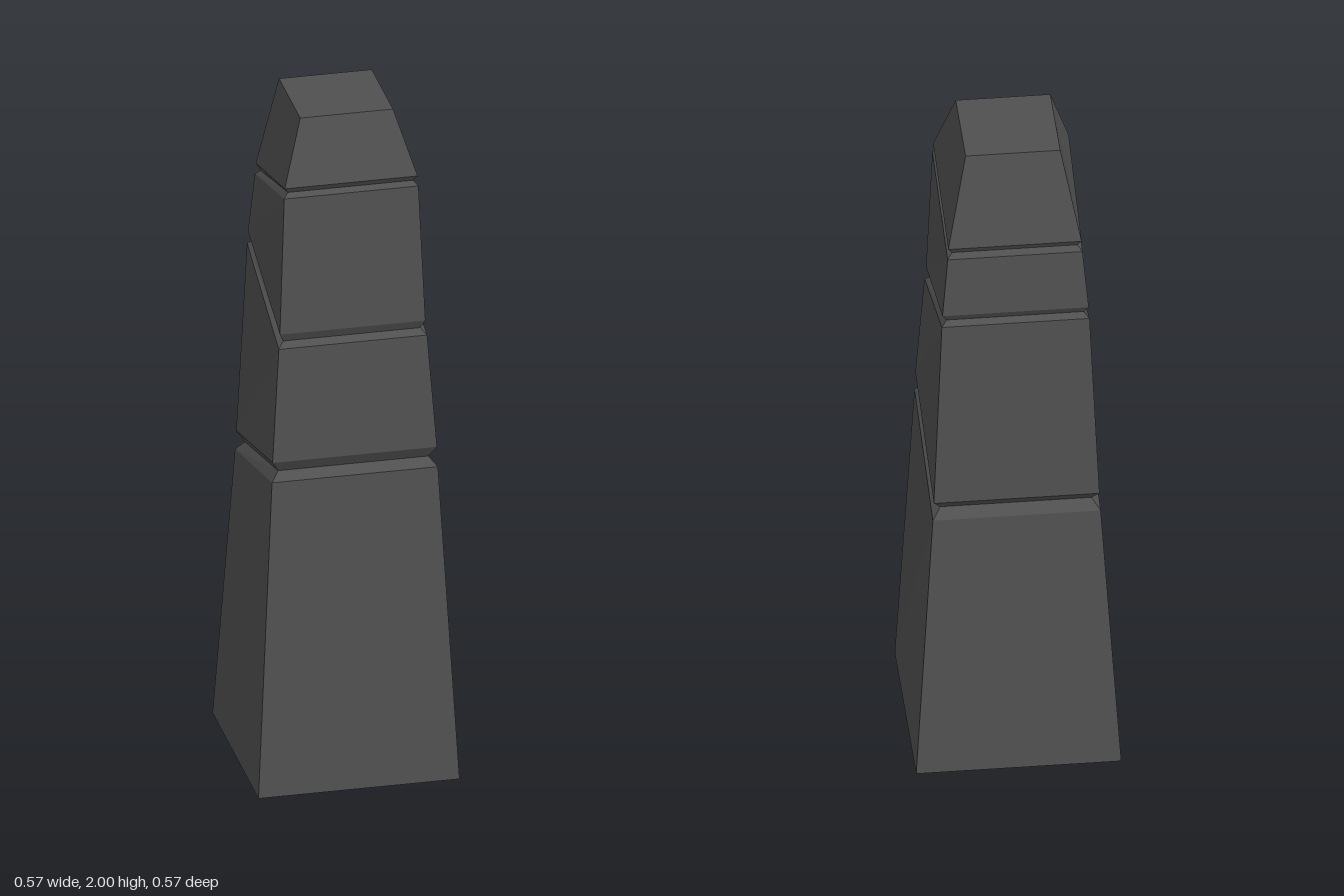
import * as THREE from 'three';

// Cross-sections: [front y, back y, front half width, back half width]
const RINGS = [
  [0, 0, 0.286, 0.286],
  [0.94, 0.828, 0.236, 0.234],
  [0.965, 0.858, 0.214, 0.211],
  [1.0, 0.885, 0.234, 0.231],
  [1.335, 1.47, 0.211, 0.206],
  [1.352, 1.484, 0.195, 0.191],
  [1.378, 1.507, 0.207, 0.204],
  [1.785, 1.688, 0.191, 0.188],
  [1.798, 1.703, 0.178, 0.175],
  [1.815, 1.722, 0.189, 0.186],
  [2, 2, 0.132, 0.132],
];

// Four corners of a tilted square, counterclockwise from above
const corners = ([yf, yb, f, b]) => [[f, yf, f], [b, yb, -b], [-b, yb, -b], [-f, yf, f]];

// Walls between consecutive rings, closed with a bottom and a top face
function loft(rings) {
  const loops = rings.map(corners);
  const points = [];
  const quad = (a, b, c, d) => points.push(...a, ...b, ...c, ...a, ...c, ...d);
  for (let r = 0; r < loops.length - 1; r++) {
    for (let i = 0; i < 4; i++) {
      const j = (i + 1) % 4;
      quad(loops[r][i], loops[r][j], loops[r + 1][j], loops[r + 1][i]);
    }
  }
  quad(...loops[0].slice().reverse());
  quad(...loops[loops.length - 1]);
  const geometry = new THREE.BufferGeometry();
  geometry.setAttribute('position', new THREE.Float32BufferAttribute(points, 3));
  geometry.computeVertexNormals();
  return geometry;
}

export function createModel() {
  const group = new THREE.Group();
  group.name = 'obelisk';
  const stone = new THREE.MeshStandardMaterial({ color: 0x505050, flatShading: true });
  stone.name = 'dark stone';

  // Stone blocks, each bevelled inward to the middle of the slanted groove it meets
  const blocks = [
    ['baseBlock', 0, 2],
    ['lowerBlock', 2, 5],
    ['upperBlock', 5, 8],
    ['capBlock', 8, 10],
  ];
  for (const [name, from, to] of blocks) {
    const mesh = new THREE.Mesh(loft(RINGS.slice(from, to + 1)), stone);
    mesh.name = name;
    group.add(mesh);
  }
  return group;
}
